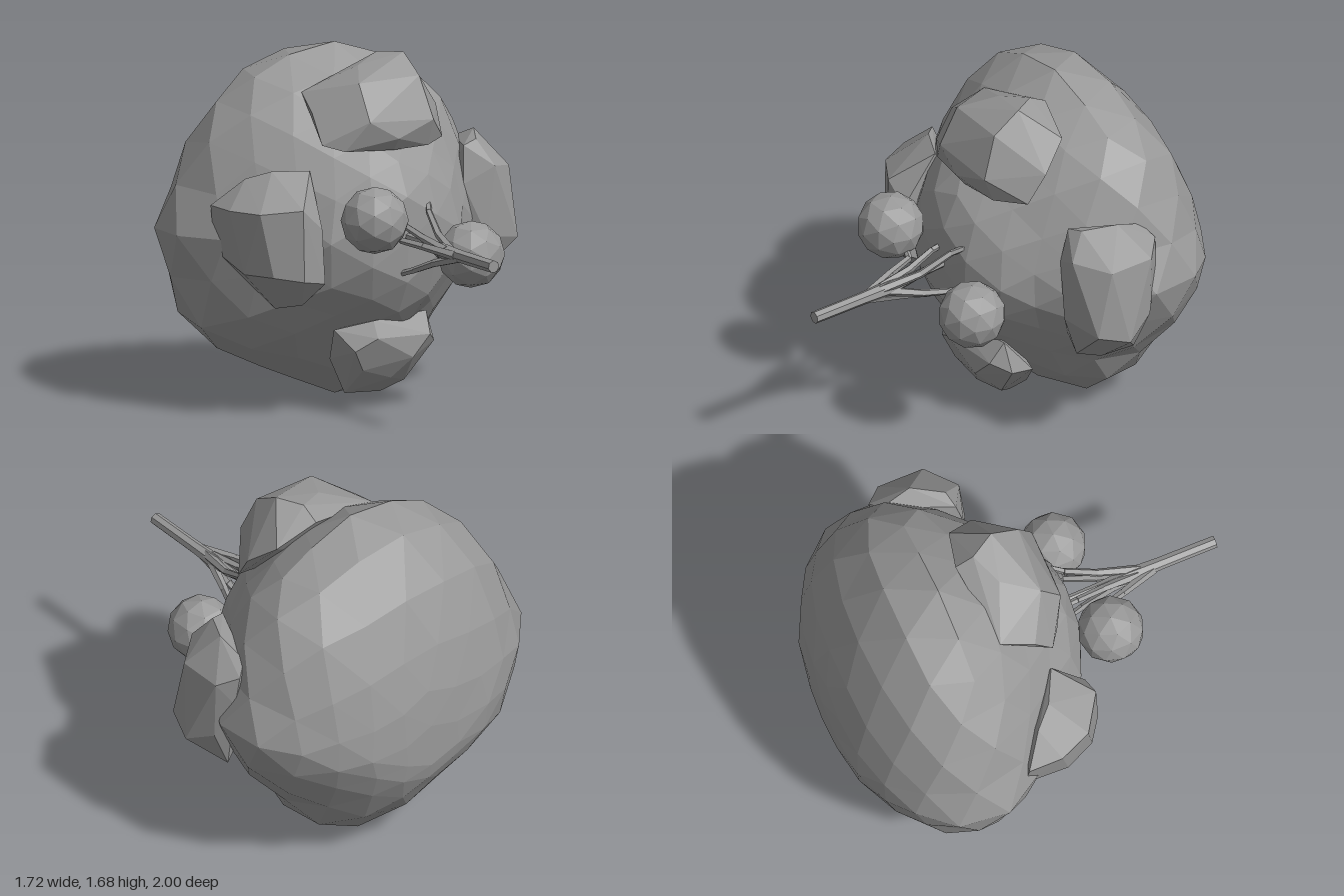
import * as THREE from 'three';
import { ConvexGeometry } from 'three/addons/geometries/ConvexGeometry.js';

const material = new THREE.MeshStandardMaterial({ color: 0x999999, flatShading: true });
const AXIS_Y = 0.84; // height of the trunk axis, which runs along z

// linear lookup in an evenly spaced table, u in 0..1
function lookup(table, u) {
  const f = Math.min(Math.max(u, 0), 1) * (table.length - 1);
  const i = Math.min(Math.floor(f), table.length - 2);
  return THREE.MathUtils.lerp(table[i], table[i + 1], f - i);
}

function add(parent, name, geo, pos = [0, 0, 0]) {
  const mesh = new THREE.Mesh(geo, material);
  mesh.name = name;
  mesh.position.set(...pos);
  parent.add(mesh);
  return mesh;
}

// main crown: faceted ball with a radius by angle from the trunk axis,
// widened by angle around it; the back is flatter in height and sags
function crownGeometry() {
  const profile = [0.66, 0.68, 0.675, 0.645, 0.665, 0.74, 0.825, 0.845, 0.78, 0.715, 0.66, 0.61, 0.59];
  const outline = [0.81, 0.77, 0.77, 0.81, 0.80, 0.81, 0.85, 0.85, 0.85, 0.84, 0.82, 0.83, 0.88,
    0.86, 0.88, 0.84, 0.79, 0.79, 0.85, 0.86, 0.80, 0.73, 0.74, 0.78, 0.81];
  const geo = new THREE.IcosahedronGeometry(1, 3);
  const p = geo.attributes.position;
  const v = new THREE.Vector3();
  for (let i = 0; i < p.count; i++) {
    v.fromBufferAttribute(p, i).normalize();
    const theta = Math.acos(THREE.MathUtils.clamp(v.z, -1, 1));
    const phi = (Math.atan2(v.y, v.x) + Math.PI * 2) % (Math.PI * 2);
    const r = lookup(profile, theta / Math.PI);
    const wide = r * lookup(outline, phi / (Math.PI * 2)) / 0.835;
    const back = Math.max(0, -v.z);
    const squash = 1 - 0.12 * back - 0.3 * back ** 3;
    p.setXYZ(i, v.x * wide, v.y * wide * squash - 0.2 * back ** 3, v.z * r);
  }
  geo.computeVertexNormals();
  return geo;
}

// chunky leaf clumps, each the hull of a few corner points
const clumps = {
  upperClump: [
    [-0.34, 1.29, 0.03], [-0.25, 1.26, 0.09], [0, 1.25, 0.12], [0, 1.31, 0.165], [0.2, 1.25, 0.1],
    [0.34, 1.26, 0], [-0.15, 1.4, 0.15], [0.2, 1.38, 0.15], [-0.34, 1.43, -0.06], [-0.15, 1.57, 0.05],
    [0.17, 1.58, 0.07], [0.36, 1.4, -0.09], [0.17, 1.67, -0.07], [-0.05, 1.62, -0.12], [0.1, 1.66, -0.19],
    [-0.3, 1.5, -0.22], [0.3, 1.52, -0.23], [0.1, 1.61, -0.28], [0, 1.3, -0.1],
  ],
  lowerClump: [
    [-0.27, 0.4, 0.02], [-0.1, 0.44, 0.1], [0.22, 0.45, 0.05], [0.27, 0.3, 0.04], [0.2, 0.35, 0.12],
    [-0.1, 0.36, 0.14], [-0.2, 0.3, 0.1], [0.1, 0.25, 0.13], [0.13, 0.12, 0], [0.02, 0.15, 0.06],
    [-0.14, 0.2, 0.07], [-0.15, 0.07, -0.08], [0.06, 0.055, -0.1], [0.1, 0.1, -0.17], [-0.12, 0.12, -0.17],
    [-0.25, 0.25, -0.05], [0.27, 0.28, -0.08], [0, 0.4, -0.1],
  ],
  rightClump: [
    [-0.39, 1.17, 0], [-0.55, 1.17, -0.08], [-0.64, 1.13, -0.17], [-0.77, 1, -0.27], [-0.77, 1, -0.1],
    [-0.7, 1, 0.06], [-0.53, 1.02, 0.17], [-0.74, 0.78, -0.28], [-0.72, 0.7, -0.05], [-0.65, 0.7, 0.1],
    [-0.53, 0.68, 0.18], [-0.41, 0.66, 0.17], [-0.42, 0.92, 0.16], [-0.55, 0.52, -0.05],
    [-0.38, 0.58, 0.02], [-0.48, 0.55, 0.08], [-0.4, 0.85, -0.2],
  ],
  leftClump: [
    [0.52, 1.18, -0.1], [0.6, 1.2, -0.12], [0.68, 1.22, -0.27], [0.66, 1.16, -0.42], [0.72, 1.1, -0.46],
    [0.74, 0.95, -0.45], [0.8, 1.05, -0.38], [0.8, 1.05, -0.15], [0.65, 1.08, -0.03], [0.5, 1, -0.07],
    [0.85, 0.67, -0.22], [0.8, 0.75, -0.37], [0.8, 0.72, -0.07], [0.6, 0.75, -0.02], [0.49, 0.58, -0.12],
    [0.62, 0.48, -0.22], [0.7, 0.53, -0.35], [0.56, 0.5, -0.12], [0.5, 0.85, -0.35],
  ],
};

// tapering limb through points, each given as [x, y, z, radius]
function limb(parent, name, pts, sides) {
  const group = new THREE.Group();
  group.name = name;
  for (let i = 0; i < pts.length - 1; i++) {
    const a = new THREE.Vector3(...pts[i]);
    const b = new THREE.Vector3(...pts[i + 1]);
    const dir = b.clone().sub(a);
    const geo = new THREE.CylinderGeometry(pts[i + 1][3], pts[i][3], dir.length(), sides);
    const mesh = add(group, name + 'Segment', geo);
    mesh.position.copy(a).add(b).multiplyScalar(0.5);
    mesh.quaternion.setFromUnitVectors(new THREE.Vector3(0, 1, 0), dir.normalize());
  }
  parent.add(group);
}

export function createModel() {
  const tree = new THREE.Group();
  tree.name = 'tree';

  add(tree, 'crown', crownGeometry(), [0, AXIS_Y, -0.41]);

  for (const [name, corners] of Object.entries(clumps)) {
    add(tree, name, new ConvexGeometry(corners.map((c) => new THREE.Vector3(...c))));
  }

  // small leaf balls at the branch tips
  add(tree, 'rightLeafBall', new THREE.IcosahedronGeometry(0.16, 1), [-0.255, 0.98, 0.36]);
  add(tree, 'leftLeafBall', new THREE.IcosahedronGeometry(0.16, 1), [0.31, 0.75, 0.305]);

  // trunk
  limb(tree, 'trunk', [
    [0.005, AXIS_Y, 1, 0.03], [0.005, AXIS_Y, 0.72, 0.031], [0.005, AXIS_Y, 0.56, 0.037],
    [0.005, AXIS_Y + 0.01, 0.4, 0.022], [0, AXIS_Y + 0.02, 0.15, 0.016],
  ], 7);

  // branches fanning out towards the crown
  const branches = [
    [[0.01, 0.85, 0.62], [0.06, 0.89, 0.42], [0.1, 0.97, 0.27], [0.14, 1, 0.2]],
    [[0.01, 0.84, 0.6], [0.07, 0.79, 0.42], [0.13, 0.78, 0.28], [0.2, 0.77, 0.27]],
    [[-0.01, 0.84, 0.68], [-0.07, 0.86, 0.5], [-0.11, 0.87, 0.36], [-0.17, 0.92, 0.35]],
    [[0, 0.83, 0.7], [0, 0.765, 0.47], [-0.01, 0.71, 0.32], [-0.03, 0.67, 0.2]],
    [[-0.01, 0.85, 0.6], [-0.02, 0.88, 0.42], [-0.04, 0.92, 0.28], [-0.05, 0.93, 0.15]],
  ];
  const radii = [0.024, 0.019, 0.016, 0.013];
  for (const path of branches) limb(tree, 'branch', path.map((p, i) => [...p, radii[i]]), 5);

  return tree;
}
